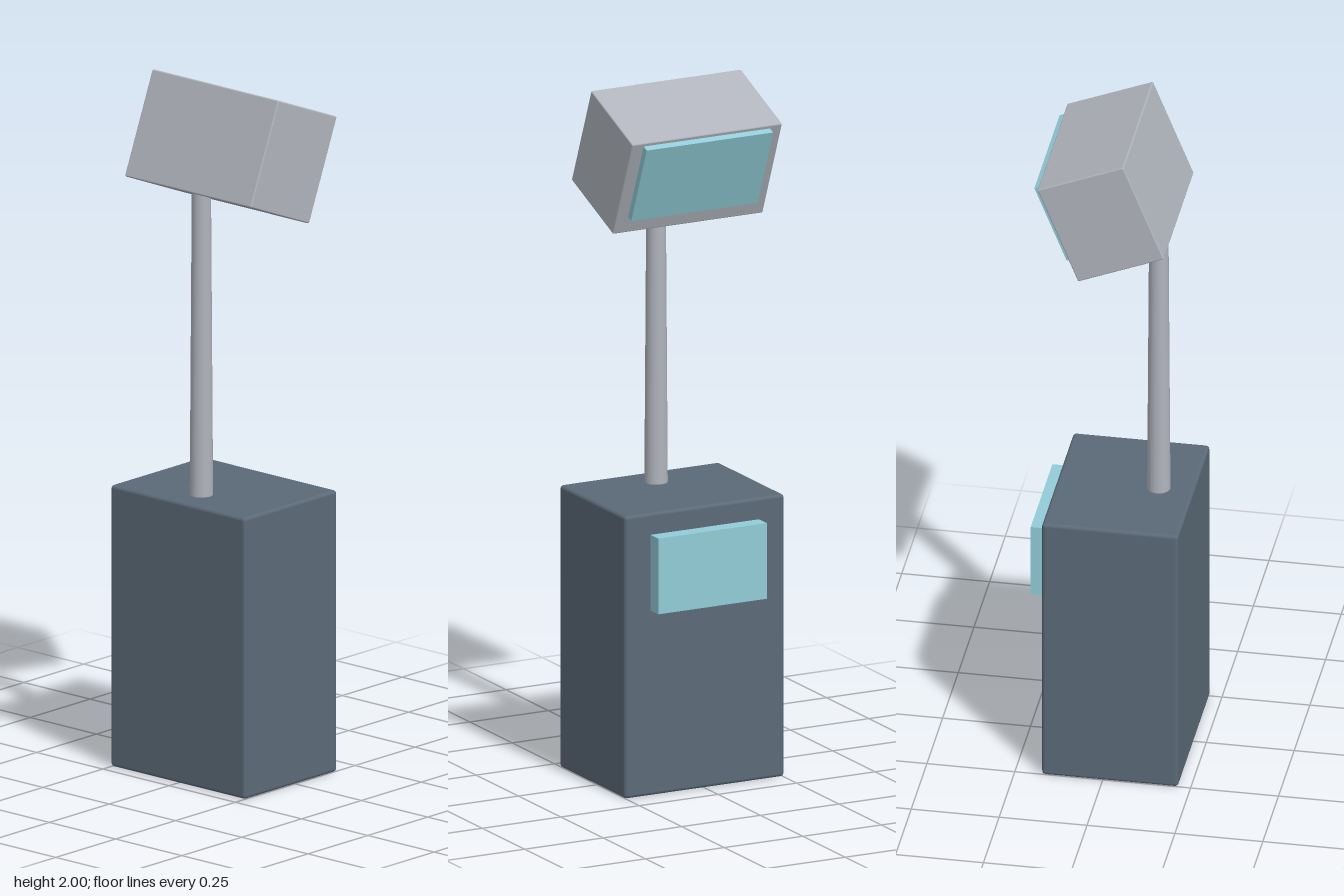
import * as THREE from 'three';
import { RoundedBoxGeometry } from 'three/addons/geometries/RoundedBoxGeometry.js';

const material = (name, color) => {
  const m = new THREE.MeshStandardMaterial({ color });
  m.name = name;
  return m;
};

export function createModel() {
  const slate = material('slate blue', 0x5b6a77);
  const grey = material('light grey', 0xb0b4bc);
  const aqua = material('pale aqua', 0x92ccd8);

  const model = new THREE.Group();
  model.name = 'pedestalTerminal';

  const add = (parent, name, geometry, mat, x, y, z) => {
    const mesh = new THREE.Mesh(geometry, mat);
    mesh.name = name;
    mesh.position.set(x, y, z);
    parent.add(mesh);
    return mesh;
  };

  // Cabinet with softened edges, and the panel on its back
  add(model, 'cabinet', new RoundedBoxGeometry(0.508, 0.82, 0.388, 2, 0.01), slate, 0, 0.41, 0.021);
  add(model, 'cabinetPanel', new THREE.BoxGeometry(0.345, 0.22, 0.055), aqua, 0, 0.648, -0.191);

  // Slightly tapered pole, running a little way into the cabinet and head
  add(model, 'pole', new THREE.CylinderGeometry(0.027, 0.033, 0.92, 24), grey, 0, 1.26, 0.115);

  // Tilted head carrying a thin screen near the top of its back
  const head = new THREE.Group();
  head.name = 'head';
  head.position.set(0, 1.808, -0.008);
  head.rotation.x = -0.384;
  model.add(head);
  add(head, 'headCase', new RoundedBoxGeometry(0.477, 0.31, 0.264, 2, 0.004), grey, 0, 0, 0);
  add(head, 'headScreen', new THREE.BoxGeometry(0.402, 0.245, 0.03), aqua, 0, 0.022, -0.137);

  return model;
}
